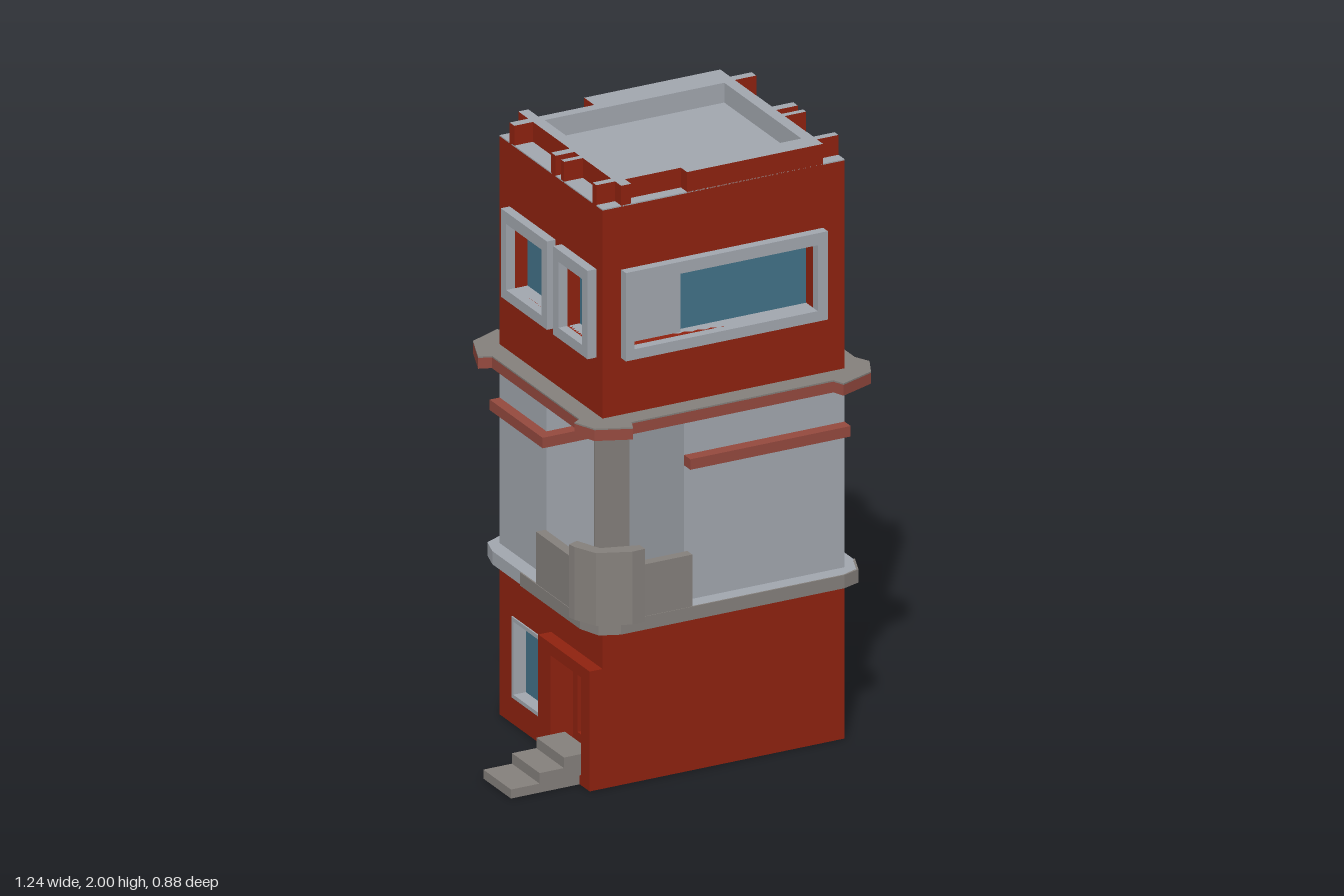
import * as THREE from 'three';

const mat = (name, color) => {
  const m = new THREE.MeshStandardMaterial({ color });
  m.name = name;
  return m;
};

export function createModel() {
  const red = mat('red wall', 0x90220f);
  const light = mat('light grey', 0xa3a8b0);
  const stone = mat('warm grey stone', 0x86817d);
  const brick = mat('brick trim', 0x964a3f);
  const glass = mat('blue glass', 0x437389);

  const model = new THREE.Group();
  model.name = 'tower house';
  // Things in this group are drawn as (z, y, outward) on the -x side
  const leftSide = new THREE.Group();
  leftSide.name = 'leftFacingSide';
  leftSide.rotation.y = -Math.PI / 2;
  model.add(leftSide);

  const add = (name, geo, material, parent = model) => {
    const m = new THREE.Mesh(geo, material);
    m.name = name;
    parent.add(m);
    return m;
  };
  const box = (name, material, x0, x1, y0, y1, z0, z1, parent = model) => {
    const g = new THREE.BoxGeometry(x1 - x0, y1 - y0, z1 - z0);
    g.translate((x0 + x1) / 2, (y0 + y1) / 2, (z0 + z1) / 2);
    return add(name, g, material, parent);
  };
  const rectPoints = ([a, b, c, d]) =>
    [[a, c], [b, c], [b, d], [a, d]].map(p => new THREE.Vector2(...p));
  // Upright panel with rectangular holes; rectangles are [u0, u1, v0, v1]
  const panel = (name, material, rect, holes, w0, w1, parent = model) => {
    const s = new THREE.Shape(rectPoints(rect));
    holes.forEach(h => s.holes.push(new THREE.Path(rectPoints(h))));
    const g = new THREE.ExtrudeGeometry(s, { depth: w1 - w0, bevelEnabled: false });
    g.translate(0, 0, w0);
    return add(name, g, material, parent);
  };
  // Flat slab from an (x, z) outline
  const slab = (name, material, pts, y0, y1) => {
    const s = new THREE.Shape(pts.map(([x, z]) => new THREE.Vector2(x, -z)));
    const g = new THREE.ExtrudeGeometry(s, { depth: y1 - y0, bevelEnabled: false });
    g.rotateX(-Math.PI / 2);
    g.translate(0, y0, 0);
    return add(name, g, material);
  };

  // Ground storey: core plus a pierced left wall
  const E = 0.335, R = 0.51;
  box('groundStorey', red, -0.29, R, 0, 0.53, -E, E);
  const lowWindow = [-0.25, -0.03, 0.09, 0.36];
  const doorway = [0.08, 0.28, 0.03, 0.36];
  panel('groundLeftWall', red, [-E, E, 0, 0.53], [lowWindow, doorway], 0.29, E, leftSide);
  panel('lowWindowFrame', light, lowWindow, [[-0.237, -0.043, 0.103, 0.347]], 0.29, 0.34, leftSide);
  box('lowWindowGlass', glass, -0.24, -0.04, 0.1, 0.35, 0.289, 0.296, leftSide);
  panel('doorSurround', red, [0, E, 0, 0.4], [doorway], E, 0.38, leftSide);
  panel('door', red, doorway, [[0.11, 0.25, 0.1, 0.32]], 0.289, 0.302, leftSide);
  box('wallVent', light, -0.325, -0.28, 0.025, 0.05, -E - 0.006, -E);

  // Entry steps
  [[-0.62, 0.03], [-0.52, 0.065], [-0.435, 0.1]].forEach(([x, y], i) =>
    box('step' + (i + 1), stone, x, -0.335, i ? [0, 0.03, 0.065][i] : 0, y, 0.09, 0.27));

  // Lower ledge with cut corners
  slab('lowerLedge', light, [
    [-0.3, 0.385], [0.48, 0.385], [0.535, 0.365], [0.565, 0.29], [0.565, -0.29],
    [0.535, -0.36], [0.48, -0.385], [-0.31, -0.385], [-0.365, -0.36], [-0.385, -0.29],
    [-0.385, 0.29], [-0.36, 0.36]], 0.528, 0.572);
  box('ledgeFrontFace', stone, -0.3, 0.48, 0.528, 0.572, 0.385, 0.39);
  box('ledgeLeftFace', stone, -0.39, -0.385, 0.528, 0.572, -0.1, 0.29);
  slab('ledgeCornerFace', stone, [
    [-0.3, 0.39], [-0.364, 0.364], [-0.39, 0.29], [-0.38, 0.29], [-0.355, 0.355], [-0.3, 0.38]],
    0.528, 0.572);
  slab('ledgeRightCornerFace', stone, [
    [0.48, 0.39], [0.54, 0.37], [0.57, 0.29], [0.56, 0.29], [0.53, 0.36], [0.48, 0.38]],
    0.528, 0.572);

  // Middle storey with a corner cut out for the balcony
  slab('middleStorey', light, [
    [-0.05, E], [R, E], [R, -E], [-E, -E], [-E, -0.03], [-0.05, -0.03]], 0.57, 1.2);
  box('balconyDoor', stone, -0.17, -0.05, 0.572, 1.02, -0.03, -0.022);
  box('frontTrim', brick, -0.05, R, 1.023, 1.058, E, 0.375);
  box('leftTrim', brick, -0.37, -E, 1.023, 1.058, -E, -0.02);
  box('balconyTrim', brick, -0.37, -0.05, 1.023, 1.058, -0.03, 0.01);

  // Balcony parapet
  slab('parapetCorner', stone, [
    [-0.235, 0.425], [-0.28, 0.428], [-0.385, 0.385], [-0.42, 0.31], [-0.425, 0.285],
    [-0.39, 0.27], [-0.355, 0.355], [-0.235, 0.392]], 0.572, 0.815);
  box('parapetFront', stone, -0.25, -0.05, 0.572, 0.745, 0.355, 0.388);
  box('parapetLeft', stone, -0.388, -0.355, 0.572, 0.745, 0, 0.3);

  // Upper ledge with flared corners
  const upper = [
    [-0.27, 0.402], [0.435, 0.402], [0.45, 0.44], [0.57, 0.395], [0.605, 0.32], [0.58, 0.27],
    [0.58, -0.265], [0.62, -0.28], [0.575, -0.397], [0.45, -0.445], [0.435, -0.405],
    [-0.27, -0.405], [-0.285, -0.445], [-0.395, -0.397], [-0.44, -0.28], [-0.4, -0.265],
    [-0.4, 0.305], [-0.425, 0.32], [-0.395, 0.395], [-0.285, 0.44]];
  slab('upperLedge', brick, upper, 1.195, 1.231);
  slab('upperLedgeTop', stone, upper, 1.231, 1.236);

  // Top storey: core plus pierced front and left walls
  const y0 = 1.23, deck = 1.93;
  box('topStorey', red, -0.285, R, y0, deck, -E, 0.285);
  const frontHole = [-0.24, 0.4, 1.46, 1.68];
  panel('topFrontWall', red, [-E, R, y0, deck], [frontHole], 0.285, E);
  panel('frontWindowFrame', light, [-0.27, 0.435, 1.425, 1.72], [frontHole], E - 0.045, 0.366);
  box('frontWindowGlass', glass, -0.05, 0.4, 1.46, 1.68, 0.284, 0.29);
  box('frontWindowPanel', light, -0.24, -0.05, 1.46, 1.68, 0.284, 0.312);
  const sideWindows = [[-0.27, 0.03], [0.07, 0.295]];
  const inner = ([a, b]) => [a + 0.035, b - 0.035, 1.46, 1.68];
  panel('topLeftWall', red, [-E, 0.3, y0, deck], sideWindows.map(inner), 0.285, E, leftSide);
  sideWindows.forEach(w => {
    const h = inner(w);
    panel('sideWindowFrame', light, [w[0], w[1], 1.425, 1.72], [h], 0.29, 0.366, leftSide);
    box('sideWindowGlass', glass, ...h, 0.284, 0.291, leftSide);
  });

  // Roof: deck, raised blocks with pale tops, and an inner basin
  box('roofDeck', light, -E, R, deck, deck + 0.004, -E, E);
  const capped = [red, red, light, red, red, red];
  const raised = (x0, x1, z0, z1) => box('roofBlock', capped, x0, x1, deck, 2, z0, z1);
  raised(-0.27, 0.435, 0.27, 0.295);
  raised(-0.27, 0.435, -0.27, -0.24);
  raised(-0.27, -0.235, -0.24, 0.27);
  raised(0.4, 0.435, -0.24, 0.27);
  [[-E, -0.27], [0.295, E]].forEach(([z0, z1]) => {
    raised(-0.27, -0.235, z0, z1);
    raised(-0.04, 0.435, z0, z1);
  });
  [[-E, -0.27], [0.435, R]].forEach(([x0, x1]) =>
    [[-0.27, -0.24], [0, 0.03], [0.065, 0.085], [0.27, 0.295]].forEach(([z0, z1]) =>
      raised(x0, x1, z0, z1)));
  const t = 0.004;
  box('basinLining', light, -0.235, 0.4, deck, 2, 0.27 - t, 0.27);
  box('basinLining', light, -0.235, 0.4, deck, 2, -0.24, -0.24 + t);
  box('basinLining', light, -0.235, -0.235 + t, deck, 2, -0.24, 0.27);
  box('basinLining', light, 0.4 - t, 0.4, deck, 2, -0.24, 0.27);

  return model;
}
